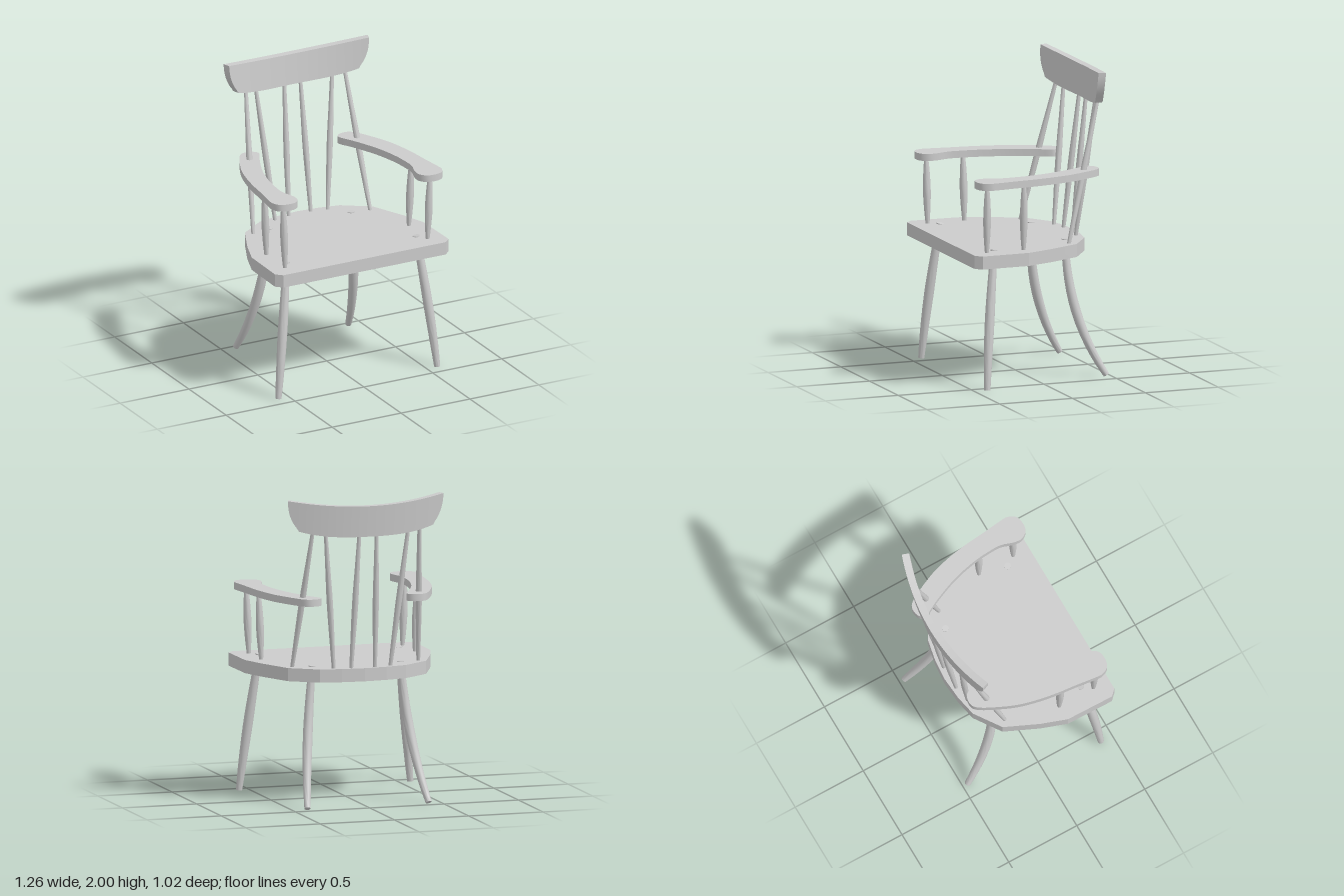
import * as THREE from 'three';
import { toCreasedNormals } from 'three/addons/utils/BufferGeometryUtils.js';

const material = new THREE.MeshStandardMaterial({ color: 0xcccccc, side: THREE.DoubleSide });
const UP = new THREE.Vector3(0, 1, 0);

function add(group, name, geometry) {
  const mesh = new THREE.Mesh(geometry, material);
  mesh.name = name;
  group.add(mesh);
}

// Turned stick: a lathe profile of [radius, t] pairs swept from bottom to top through the points
function turned(points, profile) {
  const v = points.map((p) => new THREE.Vector3(...p));
  const curve = v.length === 3 ? new THREE.QuadraticBezierCurve3(...v) : new THREE.LineCurve3(...v);
  const radii = new THREE.SplineCurve(profile.map((p) => new THREE.Vector2(...p))).getPoints(14);
  const outline = [new THREE.Vector2(0, 0), ...radii, new THREE.Vector2(0, 1)];
  const geometry = new THREE.LatheGeometry(outline, 20);
  const pos = geometry.attributes.position;
  const q = new THREE.Quaternion();
  for (let i = 0; i < pos.count; i++) {
    const t = THREE.MathUtils.clamp(pos.getY(i), 0, 1);
    q.setFromUnitVectors(UP, curve.getTangent(t));
    const offset = new THREE.Vector3(pos.getX(i), 0, pos.getZ(i)).applyQuaternion(q);
    offset.add(curve.getPoint(t));
    pos.setXYZ(i, offset.x, offset.y, offset.z);
  }
  return toCreasedNormals(geometry, 0.7);
}

// Flat board from a plan outline of Vector2(x, -z)
function board(outline, y, height, crease) {
  const geometry = new THREE.ExtrudeGeometry(new THREE.Shape(outline), { depth: height, bevelEnabled: false });
  geometry.rotateX(-Math.PI / 2).translate(0, y, 0);
  return toCreasedNormals(geometry, crease);
}

// Curved back rail: a box bent in plan, dished on top and rounded at the lower corners
function crestGeometry() {
  const geometry = new THREE.BoxGeometry(2, 1, 1, 24, 10, 1);
  const pos = geometry.attributes.position;
  const halfWidth = new THREE.SplineCurve([
    [0.452, 0], [0.485, 0.1], [0.508, 0.3], [0.52, 0.6], [0.523, 1],
  ].map((p) => new THREE.Vector2(...p)));
  for (let i = 0; i < pos.count; i++) {
    const u = pos.getX(i);
    const v = pos.getY(i) + 0.5;
    const depth = (pos.getZ(i) + 0.5) * 0.048;
    const x = u * halfWidth.getPoint(v).x;
    const bottom = 1.755 + 0.045 * Math.abs(u) ** 3;
    const top = 1.955 + 0.045 * u * u;
    const y = THREE.MathUtils.lerp(bottom, top, v);
    const slope = 0.688 * x;
    const n = Math.hypot(slope, 1);
    const z = -0.51 + 0.344 * x * x + 0.1 * (1.975 - y);
    pos.setXYZ(i, x - (depth * slope) / n, y, z + depth / n);
  }
  return toCreasedNormals(geometry, 0.6);
}

export function createModel() {
  const chair = new THREE.Group();
  chair.name = 'armchair';

  // Seat: half outline mirrored across x
  const half = [[0.59, 0.51], [0.63, 0.47], [0.625, 0.15], [0.565, -0.02], [0.465, -0.24], [0.29, -0.36], [0.15, -0.388]];
  const seat = [
    ...half, [0, -0.4], ...half.slice().reverse().map(([x, z]) => [-x, z]),
  ].map(([x, z]) => new THREE.Vector2(x, -z));
  add(chair, 'seat', board(seat, 0.805, 0.085, 0.1));

  // Armrest plan, running around the closed outline
  const armPlan = [
    [0.3, -0.345], [0.35, -0.25], [0.415, -0.09], [0.455, 0.07], [0.469, 0.2], [0.468, 0.28], [0.443, 0.36],
    [0.441, 0.42], [0.475, 0.465], [0.53, 0.475], [0.585, 0.46], [0.614, 0.41], [0.612, 0.35], [0.596, 0.22],
    [0.584, 0.1], [0.563, -0.03], [0.53, -0.16], [0.48, -0.28], [0.425, -0.385], [0.38, -0.425],
    [0.32, -0.42], [0.288, -0.385], [0.3, -0.345],
  ];

  const legProfile = [[0.02, 0], [0.026, 0.2], [0.031, 0.5], [0.028, 0.75], [0.022, 1]];
  const postProfile = [[0.012, 0], [0.02, 0.22], [0.025, 0.5], [0.02, 0.8], [0.012, 1]];
  const spindleProfile = [[0.012, 0], [0.016, 0.2], [0.02, 0.48], [0.016, 0.75], [0.012, 1]];
  const spindles = [
    [[0.425, 0.88, -0.2], [0.358, 1.8, -0.425]],
    [[0.19, 0.88, -0.34], [0.278, 1.79, -0.442]],
    [[0.08, 0.88, -0.362], [0.058, 1.78, -0.464]],
  ];

  for (const [side, s] of [['left', 1], ['right', -1]]) {
    const mirror = (points) => points.map(([x, y, z]) => [s * x, y, z]);

    // Legs, with their tenons showing just above the seat
    add(chair, side + 'FrontLeg',
      turned(mirror([[0.576, 0.005, 0.418], [0.535, 0.4, 0.395], [0.47, 0.895, 0.33]]), legProfile));
    add(chair, side + 'RearLeg',
      turned(mirror([[0.408, 0.012, -0.465], [0.34, 0.4, -0.218], [0.297, 0.895, -0.225]]), legProfile));

    // Armrest and its two posts
    const arm = new THREE.SplineCurve(armPlan.map(([x, z]) => new THREE.Vector2(s * x, -z))).getPoints(88);
    arm.pop();
    add(chair, side + 'Armrest', board(arm, 1.31, 0.046, 0.6));
    for (const [name, z] of [['FrontArmPost', 0.398], ['RearArmPost', 0.146]]) {
      add(chair, side + name, turned(mirror([[0.517, 0.88, z], [0.533, 1.32, z + 0.003]]), postProfile));
    }

    // Back spindles, outer to inner
    spindles.forEach((ends, i) =>
      add(chair, side + ['Outer', 'Middle', 'Inner'][i] + 'Spindle', turned(mirror(ends), spindleProfile)));
  }

  add(chair, 'crestRail', crestGeometry());
  return chair;
}
